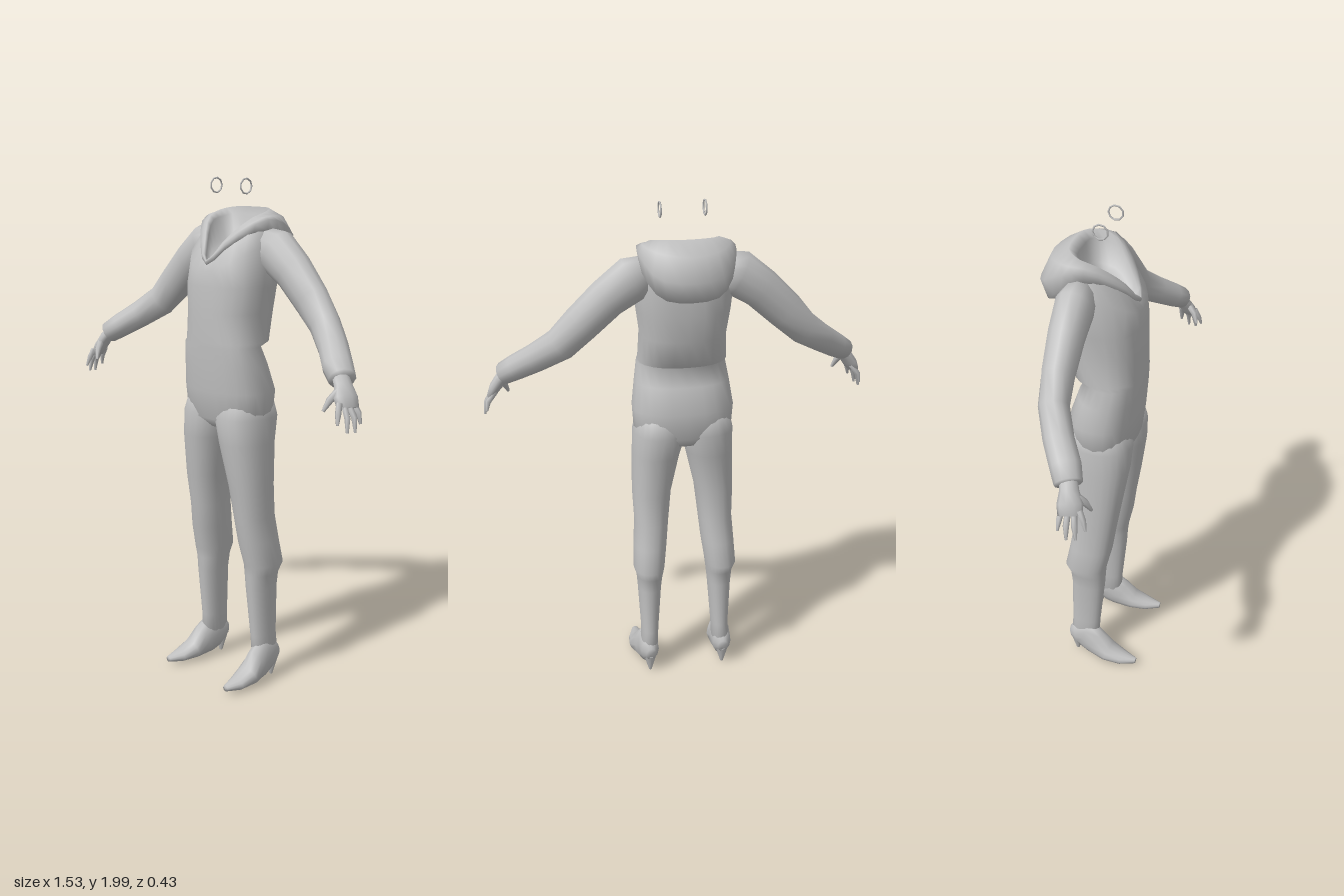
import * as THREE from 'three';

const N = 24;
const V = (x, y, z) => new THREE.Vector3(x, y, z);
const grey = new THREE.MeshStandardMaterial({ color: 0xc0c0c0 });
grey.name = 'lightGrey';
grey.side = THREE.DoubleSide;

// Skin a list of equal-length closed rings, optionally capping either end
function loft(name, rings, capStart = true, capEnd = true) {
  const n = rings[0].length, pos = [], idx = [];
  rings.forEach(r => r.forEach(p => pos.push(p.x, p.y, p.z)));
  for (let j = 0; j < rings.length - 1; j++) {
    for (let i = 0; i < n; i++) {
      const a = j * n + i, b = j * n + (i + 1) % n;
      idx.push(a, b, a + n, b, b + n, a + n);
    }
  }
  const cap = (j, flip) => {
    const c = V(0, 0, 0);
    rings[j].forEach(p => c.addScaledVector(p, 1 / n));
    const k = pos.length / 3;
    pos.push(c.x, c.y, c.z);
    for (let i = 0; i < n; i++) {
      const a = j * n + i, b = j * n + (i + 1) % n;
      if (flip) idx.push(b, a, k); else idx.push(a, b, k);
    }
  };
  if (capStart) cap(0, true);
  if (capEnd) cap(rings.length - 1, false);
  const g = new THREE.BufferGeometry();
  g.setAttribute('position', new THREE.Float32BufferAttribute(pos, 3));
  g.setIndex(idx);
  g.computeVertexNormals();
  const m = new THREE.Mesh(g, grey);
  m.name = name;
  return m;
}

// Level rounded ring: height, centre x, half width, front z, back z
function ring(y, cx, hw, zf, zb, e = 0.85) {
  const pts = [], pw = v => Math.sign(v) * Math.pow(Math.abs(v), e);
  for (let i = 0; i < N; i++) {
    const t = i / N * Math.PI * 2;
    pts.push(V(cx + hw * pw(Math.sin(t)), y, (zf + zb) / 2 + (zf - zb) / 2 * pw(Math.cos(t))));
  }
  return pts;
}

// Mirrored closed ring from a half outline running front to back
function halfRing(half) {
  const p = half.map(a => V(...a));
  const other = p.slice(1, -1).reverse().map(q => V(-q.x, q.y, q.z));
  const c = new THREE.CatmullRomCurve3([...p, ...other], true, 'centripetal');
  return Array.from({ length: N }, (_, i) => c.getPoint(i / N));
}

// Limb along nodes [x, y, z, horizontal radius, other radius]
function limb(name, nodes, s, sides = 12) {
  const c = nodes.map(a => V(a[0] * s, a[1], a[2]));
  const rings = nodes.map((a, k) => {
    const d = c[Math.min(k + 1, c.length - 1)].clone().sub(c[Math.max(k - 1, 0)]).normalize();
    const u = V(0, 1, 0).cross(d).normalize(), v = d.clone().cross(u);
    return Array.from({ length: sides }, (_, i) => {
      const t = i / sides * Math.PI * 2;
      return c[k].clone().addScaledVector(u, a[3] * Math.cos(t)).addScaledVector(v, a[4] * Math.sin(t));
    });
  });
  return loft(name, rings);
}

export function createModel() {
  const root = new THREE.Group();
  root.name = 'hoodedFigure';

  // Hips, waist and jacket in one body, with the hem stepping out at the back
  const body = [
    [1.05, 0.13, 0.11, -0.06], [1.09, 0.193, 0.15, -0.09], [1.2, 0.2, 0.163, -0.105],
    [1.3, 0.186, 0.17, -0.072], [1.375, 0.174, 0.172, -0.038], [1.39, 0.172, 0.173, -0.09],
    [1.5, 0.166, 0.174, -0.118], [1.6, 0.18, 0.168, -0.13],
  ].map(([y, hw, zf, zb]) => ring(y, 0, hw, zf, zb));
  body.push(
    halfRing([[0, 1.655, 0.16], [0.09, 1.68, 0.145], [0.17, 1.74, 0.06], [0.19, 1.75, -0.03], [0.12, 1.72, -0.115], [0, 1.7, -0.125]]),
    halfRing([[0, 1.68, 0.145], [0.075, 1.75, 0.105], [0.145, 1.82, 0.02], [0.155, 1.82, -0.05], [0.1, 1.8, -0.1], [0, 1.79, -0.11]]),
  );
  root.add(loft('jacketAndHips', body, true, false));

  // Folded hood: under side, outer edge, ridge, opening, then the inside of the neck
  root.add(loft('hood', [
    [[0, 1.675, 0.14], [0.07, 1.73, 0.1], [0.14, 1.79, 0], [0.15, 1.74, -0.07], [0.09, 1.69, -0.11], [0, 1.685, -0.115]],
    [[0, 1.68, 0.148], [0.08, 1.75, 0.105], [0.165, 1.81, 0], [0.17, 1.765, -0.1], [0.11, 1.69, -0.165], [0, 1.677, -0.19]],
    [[0, 1.69, 0.152], [0.085, 1.77, 0.105], [0.175, 1.848, 0], [0.178, 1.83, -0.09], [0.125, 1.77, -0.185], [0, 1.755, -0.216]],
    [[0, 1.695, 0.152], [0.075, 1.78, 0.1], [0.155, 1.855, 0], [0.16, 1.86, -0.07], [0.11, 1.85, -0.145], [0, 1.84, -0.18]],
    [[0, 1.695, 0.148], [0.06, 1.78, 0.1], [0.115, 1.85, 0.03], [0.125, 1.875, -0.04], [0.09, 1.885, -0.09], [0, 1.886, -0.105]],
    [[0, 1.69, 0.142], [0.045, 1.765, 0.1], [0.095, 1.835, 0.03], [0.102, 1.85, -0.03], [0.075, 1.86, -0.065], [0, 1.86, -0.072]],
    [[0, 1.67, 0.125], [0.04, 1.71, 0.09], [0.08, 1.75, 0.03], [0.085, 1.76, -0.03], [0.06, 1.77, -0.06], [0, 1.77, -0.068]],
  ].map(halfRing), false, true));

  for (const s of [1, -1]) {
    const side = s > 0 ? 'left' : 'right';

    // Leg from ankle up: height, inner x, outer x, front z, back z
    root.add(loft(side + 'Leg', [
      [0.09, 0.12, 0.193, 0.04, -0.08], [0.2, 0.115, 0.185, 0.045, -0.075], [0.4, 0.1, 0.195, 0.063, -0.075],
      [0.46, 0.093, 0.2, 0.066, -0.082], [0.5, 0.087, 0.212, 0.07, -0.1], [0.6, 0.074, 0.207, 0.092, -0.082],
      [0.7, 0.064, 0.2, 0.105, -0.067], [0.83, 0.05, 0.205, 0.125, -0.06], [1.0, 0.012, 0.201, 0.15, -0.077],
      [1.1, -0.015, 0.198, 0.155, -0.1], [1.18, 0, 0.18, 0.13, -0.08],
    ].map(([y, a, b, zf, zb]) => ring(y, s * (a + b) / 2, (b - a) / 2, zf, zb, 0.9))));

    // Pointed shoe with a thin heel
    root.add(limb(side + 'Shoe', [
      [0.155, 0.1, -0.082, 0.022, 0.03], [0.156, 0.105, -0.055, 0.038, 0.06], [0.158, 0.11, -0.015, 0.042, 0.08],
      [0.165, 0.08, 0.03, 0.043, 0.07], [0.173, 0.05, 0.09, 0.051, 0.04], [0.178, 0.036, 0.155, 0.038, 0.024],
      [0.18, 0.036, 0.215, 0.013, 0.012],
    ], s));
    const heel = new THREE.Mesh(new THREE.CylinderGeometry(0.028, 0.006, 0.075, 8), grey);
    heel.name = side + 'Heel';
    heel.position.set(s * 0.156, 0.045, -0.055);
    root.add(heel);

    // Sleeve bending at the elbow and ending in a cuff
    root.add(limb(side + 'Sleeve', [
      [0.13, 1.745, -0.03, 0.06, 0.075], [0.2, 1.73, -0.03, 0.072, 0.088], [0.29, 1.665, -0.028, 0.067, 0.078],
      [0.39, 1.57, -0.022, 0.06, 0.073], [0.47, 1.49, -0.01, 0.055, 0.064], [0.56, 1.425, 0.04, 0.055, 0.055],
      [0.63, 1.375, 0.09, 0.056, 0.05], [0.678, 1.342, 0.118, 0.05, 0.044],
    ], s));

    // Palm, four fingers and a thumb
    root.add(limb(side + 'Palm', [
      [0.66, 1.355, 0.112, 0.03, 0.025], [0.69, 1.32, 0.125, 0.034, 0.025],
      [0.712, 1.285, 0.135, 0.045, 0.023], [0.73, 1.25, 0.142, 0.042, 0.016],
    ], s, 10));
    const tips = [[0.735, 1.2, 0.198], [0.755, 1.172, 0.17], [0.762, 1.17, 0.138], [0.755, 1.195, 0.105]];
    tips.forEach(([x, y, z], i) => root.add(limb(side + 'Finger' + (i + 1), [
      [0.718, 1.27, 0.172 - i * 0.02, 0.011, 0.012],
      [x - 0.008, (y + 1.27) / 2, z * 0.6 + (0.172 - i * 0.02) * 0.4, 0.011, 0.011],
      [x, y, z, 0.005, 0.005],
    ], s, 6)));
    root.add(limb(side + 'Thumb', [
      [0.695, 1.31, 0.145, 0.016, 0.016], [0.678, 1.275, 0.178, 0.013, 0.013], [0.664, 1.237, 0.195, 0.006, 0.006],
    ], s, 6));

    // Hoop floating beside the head position
    const hoop = new THREE.Mesh(new THREE.TorusGeometry(0.028, 0.0035, 5, 9), grey);
    hoop.name = side + 'Earring';
    hoop.rotation.y = Math.PI / 2;
    hoop.position.set(s * 0.084, 1.968, 0.023);
    root.add(hoop);
  }
  return root;
}
